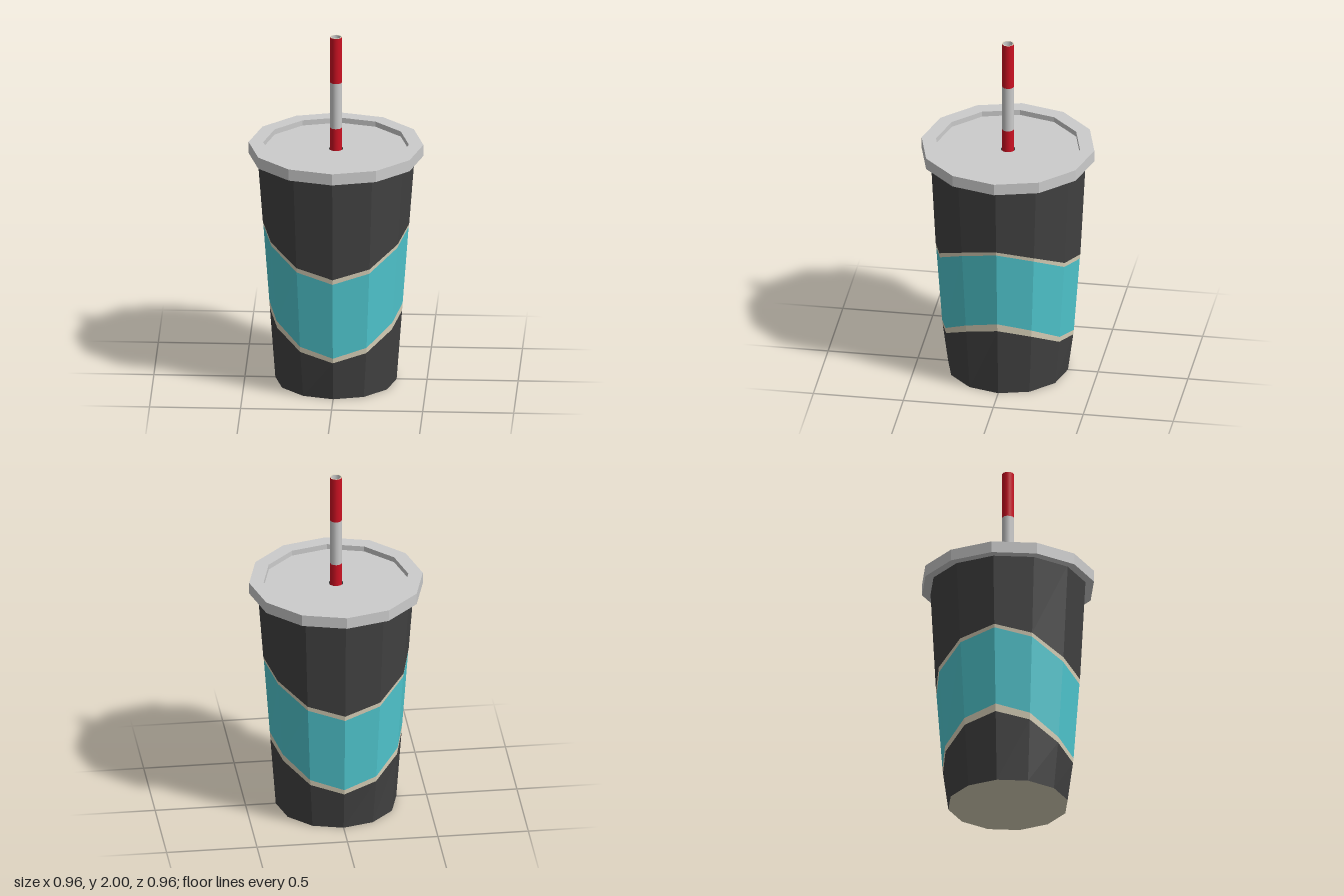
import * as THREE from 'three';

const SIDES = 12;
const flat = (color) => new THREE.MeshStandardMaterial({ color, flatShading: true, side: THREE.DoubleSide });
const charcoal = flat(0x424242);
const cream = flat(0xdcd4bc);
const teal = flat(0x50c8d0);
const grey = flat(0xcccccc);
const smooth = (color) => new THREE.MeshStandardMaterial({ color, side: THREE.DoubleSide });
const red = smooth(0xcc1122);
const white = smooth(0xcccccc);

// Cup seams from bottom to top: radius, mean height, wave height
const SEAMS = [
  { r: 0.333, y: 0, wave: 0 },
  { r: 0.363, y: 0.312, wave: 0.09 },
  { r: 0.366, y: 0.348, wave: 0.098 },
  { r: 0.399, y: 0.794, wave: 0.098 },
  { r: 0.402, y: 0.818, wave: 0.094 },
  { r: 0.433, y: 1.32, wave: 0 },
];

function add(group, name, geometry, material) {
  const mesh = new THREE.Mesh(geometry, material);
  mesh.name = name;
  group.add(mesh);
  return mesh;
}

// Tapered ring whose edges dip at front and back and rise at the sides
function wavyBand(low, high) {
  const geo = new THREE.CylinderGeometry(high.r, low.r, 1, SIDES, 1, true);
  const pos = geo.attributes.position;
  for (let i = 0; i < pos.count; i++) {
    const seam = pos.getY(i) > 0 ? high : low;
    const angle = Math.atan2(pos.getX(i), pos.getZ(i));
    pos.setY(i, seam.y - seam.wave * Math.cos(2 * angle));
  }
  geo.computeVertexNormals();
  return geo;
}

function lathe(points, sides) {
  return new THREE.LatheGeometry(points.map(([x, y]) => new THREE.Vector2(x, y)), sides);
}

export function createModel() {
  const model = new THREE.Group();
  model.name = 'drinkCup';

  // Cup wall: dark base, striped sleeve, dark upper part
  const cup = new THREE.Group();
  cup.name = 'cup';
  const bands = [
    ['cupBase', charcoal],
    ['lowerStripe', cream],
    ['sleeve', teal],
    ['upperStripe', cream],
    ['cupUpper', charcoal],
  ];
  bands.forEach(([name, material], i) => add(cup, name, wavyBand(SEAMS[i], SEAMS[i + 1]), material));
  const bottom = new THREE.CircleGeometry(SEAMS[0].r, SIDES).rotateX(Math.PI / 2);
  add(cup, 'cupBottom', bottom, cream);
  model.add(cup);

  // Lid with overhanging rim, recessed top and straw hole
  add(model, 'lid', lathe([
    [0.425, 1.31], [0.48, 1.31], [0.48, 1.375], [0.4, 1.375], [0.4, 1.345], [0.04, 1.345],
  ], SIDES), grey);

  // Hollow striped straw, reaching down into the cup
  const straw = new THREE.Group();
  straw.name = 'straw';
  const cuts = [0.1, 1.205, 1.47, 1.735, 2];
  for (let i = 0; i < cuts.length - 1; i++) {
    const height = cuts[i + 1] - cuts[i];
    const geo = new THREE.CylinderGeometry(0.033, 0.033, height, SIDES, 1, true);
    geo.translate(0, cuts[i] + height / 2, 0);
    add(straw, 'strawStripe', geo, i % 2 ? red : white);
  }
  add(straw, 'strawInside', lathe([[0.027, 2], [0.027, 0.1]], SIDES), white);
  add(straw, 'strawRim', new THREE.RingGeometry(0.027, 0.033, SIDES).rotateX(-Math.PI / 2).translate(0, 2, 0), cream);
  model.add(straw);

  return model;
}
